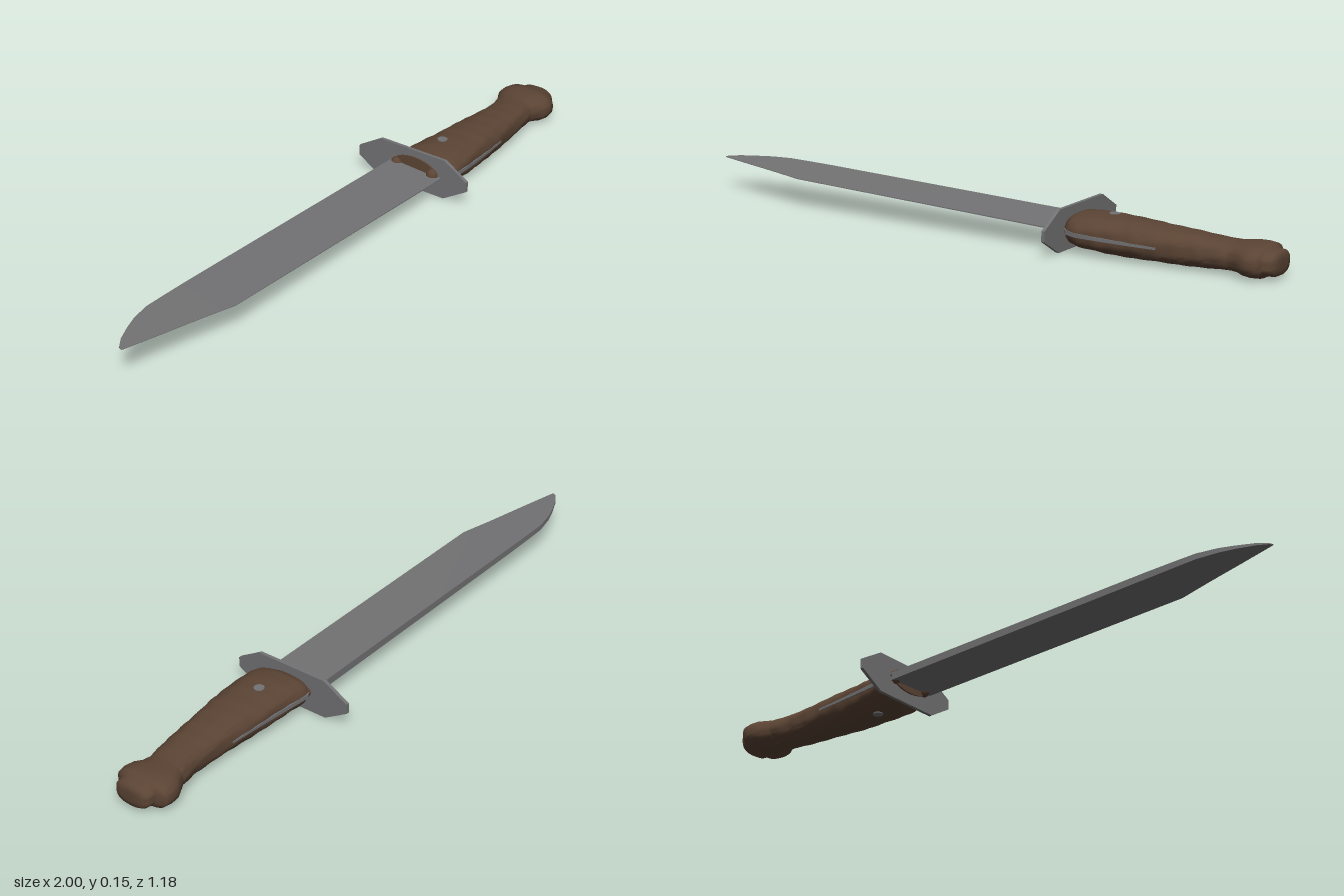
import * as THREE from 'three';
import { toCreasedNormals } from 'three/addons/utils/BufferGeometryUtils.js';

const steel = new THREE.MeshStandardMaterial({ color: 0x727274 });
steel.name = 'steel';
const wood = new THREE.MeshStandardMaterial({ color: 0x5b4434 });
wood.name = 'wood';

// Skin a list of rings running along +x; every ring turns from +y to +z.
function loft(rings, crease) {
  const n = rings[0].length, pos = [], index = [];
  for (const ring of rings) for (const p of ring) pos.push(...p);
  for (let i = 0; i < rings.length - 1; i++) {
    for (let j = 0; j < n; j++) {
      const a = i * n + j, b = i * n + (j + 1) % n;
      index.push(a, b, a + n, b, b + n, a + n);
    }
  }
  const last = (rings.length - 1) * n;
  for (let j = 1; j < n - 1; j++) {
    index.push(0, j + 1, j, last, last + j, last + j + 1);
  }
  const g = new THREE.BufferGeometry();
  g.setAttribute('position', new THREE.Float32BufferAttribute(pos, 3));
  g.setIndex(index);
  return toCreasedNormals(g, crease);
}

// Four-cornered section: thick at the back (z0), thin at the edge (z1)
const wedge = (x, z0, z1, h0, h1) => [[x, h0, z0], [x, h1, z1], [x, -h1, z1], [x, -h0, z0]];

// Handle stations: x, back z, belly z, half height
const gripStations = [
  [0.004, -0.07, 0.1, 0.04], [0.025, -0.079, 0.13, 0.051], [0.07, -0.073, 0.146, 0.058],
  [0.15, -0.064, 0.145, 0.061], [0.27, -0.052, 0.137, 0.061], [0.42, -0.04, 0.121, 0.056],
  [0.52, -0.036, 0.11, 0.051], [0.6, -0.05, 0.1, 0.047],
];
const pommelStations = [
  [0.6, -0.05, 0.1, 0.047], [0.63, -0.066, 0.106, 0.05], [0.652, -0.078, 0.124, 0.053],
  [0.68, -0.081, 0.131, 0.054], [0.708, -0.075, 0.126, 0.052], [0.716, -0.06, 0.114, 0.046],
  [0.722, -0.042, 0.102, 0.042], [0.748, -0.036, 0.097, 0.041], [0.757, -0.025, 0.088, 0.036],
  [0.76, 0.0, 0.065, 0.02],
];

function sample(stations, x) {
  let i = 0;
  while (i < stations.length - 2 && x > stations[i + 1][0]) i++;
  const a = stations[i], b = stations[i + 1];
  const t = (x - a[0]) / (b[0] - a[0]);
  return a.map((v, k) => v + (b[k] - v) * t);
}

// Rounded-box section, roughened slightly like carved horn
function roundRing([x, z0, z1, h], rough) {
  const ring = [], n = 40;
  for (let j = 0; j < n; j++) {
    const a = (j / n) * Math.PI * 2;
    const soft = (v) => Math.sign(v) * Math.pow(Math.abs(v), 0.8);
    const bump = 1 + rough * Math.sin(x * 55 + 3 * a) * Math.sin(x * 31 - 5 * a + 1);
    ring.push([x, h * soft(Math.cos(a)) * bump,
      (z0 + z1) / 2 + ((z1 - z0) / 2) * soft(Math.sin(a)) * bump]);
  }
  return ring;
}

export function createModel() {
  const model = new THREE.Group();
  model.name = 'knife';
  const add = (name, geometry, material) => {
    const mesh = new THREE.Mesh(geometry, material);
    mesh.name = name;
    model.add(mesh);
    return mesh;
  };

  // Blade: wedge section with a clipped, curved point
  add('blade', loft([
    wedge(-1.511, -0.009, -0.006, 0.001, 0.001),
    wedge(-1.505, -0.02, -0.003, 0.002, 0.001),
    wedge(-1.47, -0.045, 0.006, 0.004, 0.001),
    wedge(-1.411, -0.071, 0.021, 0.006, 0.001),
    wedge(-1.36, -0.089, 0.034, 0.008, 0.001),
    wedge(-1.286, -0.103, 0.052, 0.01, 0.001),
    wedge(-1.206, -0.103, 0.072, 0.011, 0.001),
    wedge(-1.096, -0.102, 0.102, 0.012, 0.001),
    wedge(0, -0.083, 0.124, 0.014, 0.002),
  ], 0.5), steel);

  // Guard: flat eight-sided plate across the blade
  const outline = [[-0.227, -0.018], [-0.135, -0.073], [0.135, -0.073], [0.227, -0.018],
    [0.227, 0.018], [0.135, 0.073], [-0.135, 0.073], [-0.227, 0.018]];
  const guardShape = new THREE.Shape(outline.map(([x, y]) => new THREE.Vector2(x, y)));
  const guardGeometry = new THREE.ExtrudeGeometry(guardShape, { depth: 0.012, bevelEnabled: false });
  guardGeometry.translate(0, 0, -0.006).rotateY(Math.PI / 2);
  add('guard', guardGeometry, steel);

  // Bolster on the blade side, with a knob at each end
  const bolster = new THREE.CylinderGeometry(1, 1, 0.008, 32).rotateZ(Math.PI / 2);
  bolster.scale(1, 0.04, 0.09).translate(-0.008, 0.008, 0.012);
  add('bolster', bolster, wood);
  for (const z of [-0.062, 0.088]) {
    const knob = add('bolsterKnob', new THREE.SphereGeometry(1, 20, 14), wood);
    knob.scale.set(0.022, 0.024, 0.022);
    knob.position.set(-0.008, 0.004, z);
  }

  // Handle and pommel
  const gripRings = [];
  for (let i = 0; i <= 48; i++) {
    const x = 0.004 + 0.596 * i / 48;
    gripRings.push(roundRing(sample(gripStations, x), 0.022));
  }
  add('grip', loft(gripRings, 0.9), wood);
  add('pommel', loft(pommelStations.map((s) => roundRing(s, 0.006)), 0.9), wood);

  // Tang showing as a thin strip along both sides of the handle
  const tangRings = [0.012, 0.025, 0.07, 0.15, 0.27, 0.36].map((x) => {
    const [, z0, z1] = sample(gripStations, x);
    const h = 0.008 - 0.012 * x;
    return wedge(x, z0 - 0.003, z1 + 0.003, h, h);
  });
  add('tang', loft(tangRings, 0.5), steel);

  // Rivet through the handle
  const rivet = add('rivet', new THREE.CylinderGeometry(0.018, 0.018, 0.124, 20), steel);
  rivet.position.set(0.145, 0, 0.022);

  // Lay the knife diagonally, point slightly raised
  model.rotation.set(0, 0.532, -0.03);
  model.position.set(0.304, 0.073, -0.168);
  const root = new THREE.Group();
  root.name = 'knifeRoot';
  root.add(model);
  return root;
}
